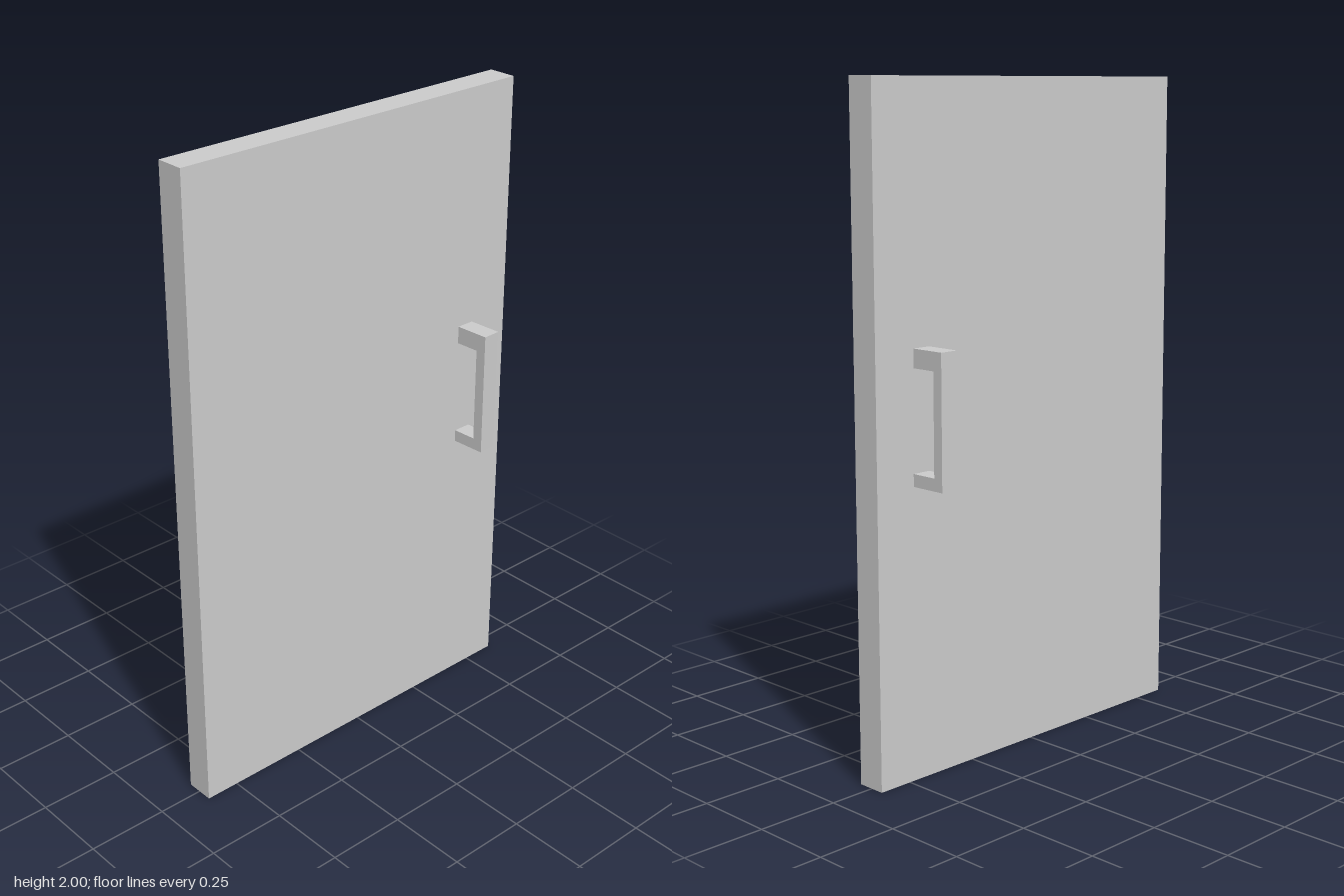
import * as THREE from 'three';

const material = new THREE.MeshStandardMaterial({ color: 0xcccccc, flatShading: true });

// C-shaped pull handle, open towards local x = 0 and reaching out along +x
function makeHandle(name, reach, grip, upperStart, lowerStart, depth) {
  const top = 1.26, innerTop = 1.205, innerBottom = 0.905, bottom = 0.868;
  const outline = new THREE.Shape([
    [lowerStart, bottom], [reach, bottom], [reach, top], [upperStart, top],
    [upperStart, innerTop], [reach - grip, innerTop],
    [reach - grip, innerBottom], [lowerStart, innerBottom],
  ].map(([x, y]) => new THREE.Vector2(x, y)));
  const geometry = new THREE.ExtrudeGeometry(outline, { depth, bevelEnabled: false });
  geometry.translate(0, 0, -depth / 2);
  const handle = new THREE.Mesh(geometry, material);
  handle.name = name;
  return handle;
}

export function createModel() {
  const model = new THREE.Group();
  model.name = 'door';

  // Door slab
  const slab = new THREE.Mesh(new THREE.BoxGeometry(0.09, 2, 1.216), material);
  slab.name = 'doorSlab';
  slab.position.set(0.0015, 1, 0);
  model.add(slab);

  // Handle on the +x face, turned very slightly
  const left = makeHandle('leftHandle', 0.109, 0.033, 0, 0, 0.058);
  left.position.set(0.046, 0, -0.44);
  left.rotation.y = 0.04;
  model.add(left);

  // Handle on the -x face; its upper arm stops just short of the slab
  const right = makeHandle('rightHandle', 0.117, 0.032, 0.005, 0, 0.059);
  right.position.set(-0.043, 0, -0.443);
  right.rotation.y = Math.PI;
  model.add(right);

  return model;
}
